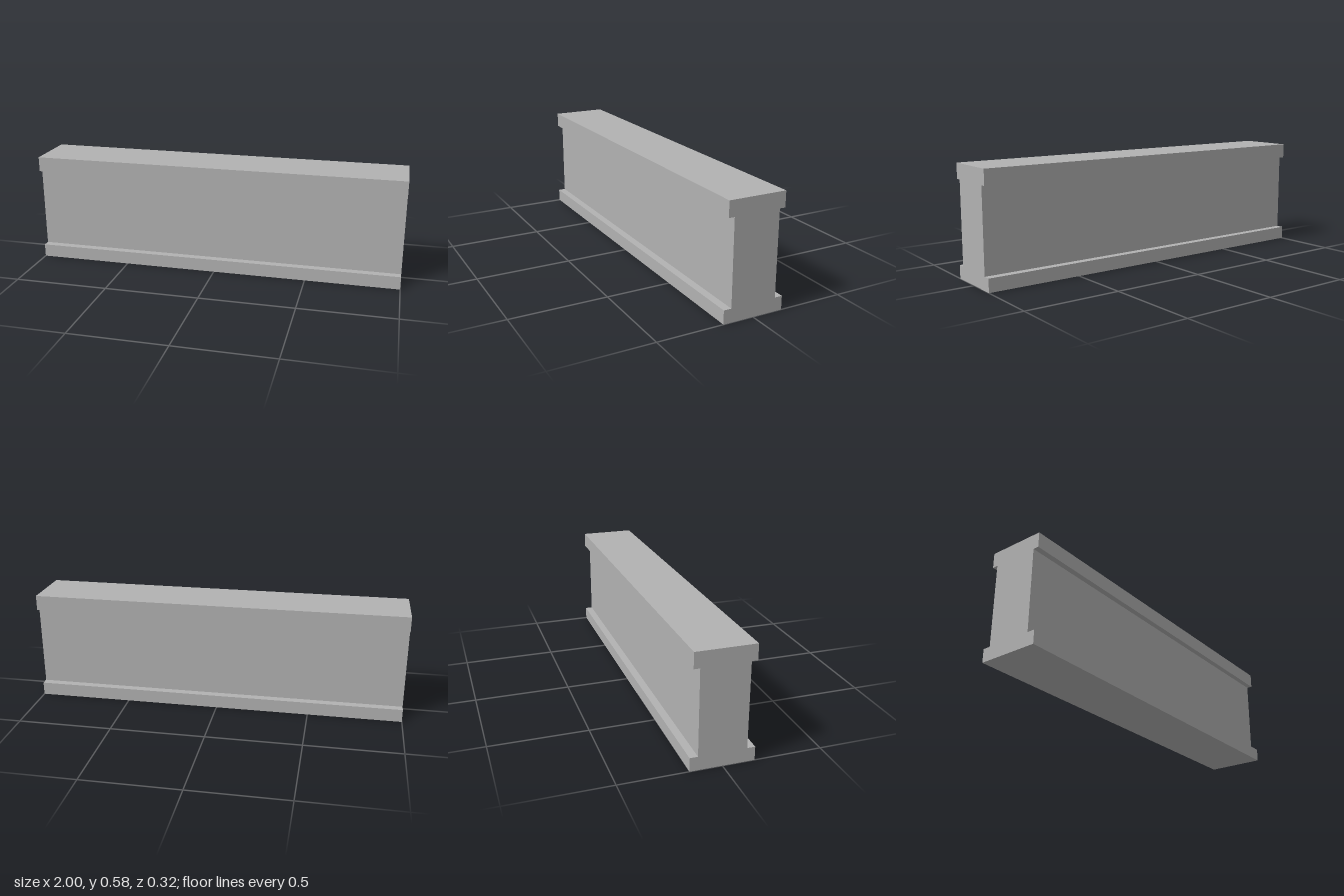
import * as THREE from 'three';

export function createModel() {
  const concrete = new THREE.MeshStandardMaterial({ color: 0xb2b2b2 });
  concrete.name = 'concrete grey';

  const length = 2;

  // Right half of the cross-section, bottom to top: [half depth, height]
  const half = [
    [0.16, 0], [0.16, 0.07],      // base course
    [0.12, 0.07], [0.12, 0.505],  // wall
    [0.15, 0.505], [0.15, 0.585], // coping
  ];
  const mirrored = half.map(([d, y]) => [-d, y]).reverse();
  const profile = new THREE.Shape(
    [...half, ...mirrored].map(([d, y]) => new THREE.Vector2(d, y))
  );

  // Sweep the section along x
  const geometry = new THREE.ExtrudeGeometry(profile, { depth: length, bevelEnabled: false });
  geometry.translate(0, 0, -length / 2);
  geometry.rotateY(Math.PI / 2);

  const wall = new THREE.Mesh(geometry, concrete);
  wall.name = 'wallWithBaseAndCoping';

  const group = new THREE.Group();
  group.name = 'parapetWall';
  group.add(wall);
  return group;
}
